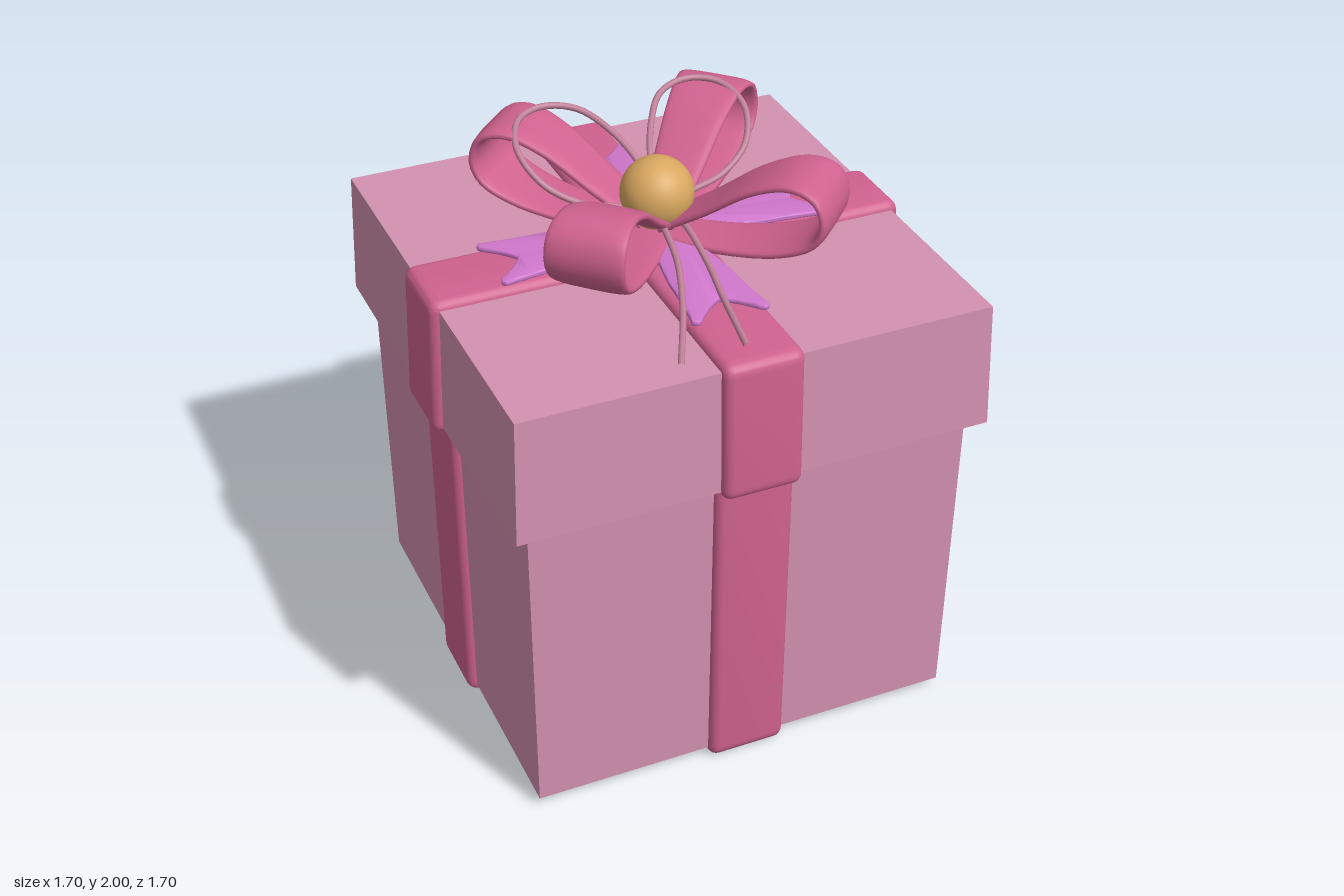
import * as THREE from 'three';
import { toCreasedNormals } from 'three/addons/utils/BufferGeometryUtils.js';

const mat = (color) => new THREE.MeshStandardMaterial({ color });
const paper = mat(0xd391b0), ribbon = mat(0xd0628f), satin = mat(0xd077cc);
const gold = mat(0xd9a860), cord = mat(0xc08098);

const v3 = (p) => new THREE.Vector3(...p);

function add(parent, name, geometry, material) {
  const mesh = new THREE.Mesh(geometry, material);
  mesh.name = name;
  parent.add(mesh);
  return mesh;
}

// Square box whose half width changes from bottom to top
function taperedBox(y0, y1, bottom, top) {
  const g = new THREE.BoxGeometry(2, y1 - y0, 2);
  const p = g.attributes.position;
  for (let i = 0; i < p.count; i++) {
    const h = p.getY(i) > 0 ? top : bottom;
    p.setXYZ(i, p.getX(i) * h, p.getY(i) + (y0 + y1) / 2, p.getZ(i) * h);
  }
  g.computeVertexNormals();
  return g;
}

// Padded band around the box: rounded outline with a hole, soft edges
function band(y0, y1, bottom, top, r) {
  const corners = [[-bottom, y0], [bottom, y0], [top, y1], [-top, y1]].map(c => new THREE.Vector2(...c));
  const shape = new THREE.Shape();
  corners.forEach((c, i) => {
    const a = c.clone().add(corners[(i + 3) % 4].clone().sub(c).setLength(r));
    const b = c.clone().add(corners[(i + 1) % 4].clone().sub(c).setLength(r));
    if (i) shape.lineTo(a.x, a.y);
    else shape.moveTo(a.x, a.y);
    shape.quadraticCurveTo(c.x, c.y, b.x, b.y);
  });
  shape.closePath();
  const k = 0.14, hole = new THREE.Path();
  hole.moveTo(k - bottom, y0 + k);
  hole.lineTo(k - top, y1 - k);
  hole.lineTo(top - k, y1 - k);
  hole.lineTo(bottom - k, y0 + k);
  hole.closePath();
  shape.holes.push(hole);
  const g = new THREE.ExtrudeGeometry(shape, {
    depth: 0.21, bevelThickness: 0.033, bevelSize: 0.033, bevelOffset: -0.033,
    bevelSegments: 5, curveSegments: 8,
  });
  g.translate(0, 0, -0.105);
  return toCreasedNormals(g, 0.7);
}

// Bow loop: flat rounded section swept along a teardrop, widening outward
function bowLoop() {
  const curve = new THREE.CatmullRomCurve3([
    [0.02, 1.66], [0.28, 1.672], [0.47, 1.715], [0.575, 1.775], [0.605, 1.85], [0.575, 1.93],
    [0.49, 1.955], [0.36, 1.91], [0.18, 1.785], [0.03, 1.69],
  ].map(([x, y]) => new THREE.Vector3(x, y, 0)));
  const N = 48, M = 20, pos = [], index = [];
  const round = (v) => Math.sign(v) * Math.abs(v) ** 0.6;
  for (let i = 0; i <= N; i++) {
    const p = curve.getPointAt(i / N), t = curve.getTangentAt(i / N);
    const half = 0.07 + 0.108 * p.x;
    for (let j = 0; j < M; j++) {
      const a = j / M * Math.PI * 2, n = 0.017 * round(Math.sin(a));
      pos.push(p.x - t.y * n, p.y + t.x * n, half * round(Math.cos(a)));
      if (i === N) continue;
      const k = (j + 1) % M, q = i * M;
      index.push(q + j, q + M + j, q + k, q + k, q + M + j, q + M + k);
    }
  }
  const g = new THREE.BufferGeometry();
  g.setAttribute('position', new THREE.Float32BufferAttribute(pos, 3));
  g.setIndex(index);
  g.computeVertexNormals();
  return g;
}

// Flat ribbon end with a swallowtail notch
function ribbonTail() {
  const s = new THREE.Shape();
  s.moveTo(0, -0.04);
  s.quadraticCurveTo(0.2, -0.085, 0.34, -0.105);
  s.quadraticCurveTo(0.46, -0.11, 0.575, -0.13);
  s.quadraticCurveTo(0.59, -0.12, 0.58, -0.105);
  s.quadraticCurveTo(0.51, -0.05, 0.485, 0);
  s.quadraticCurveTo(0.51, 0.05, 0.58, 0.105);
  s.quadraticCurveTo(0.59, 0.12, 0.575, 0.13);
  s.quadraticCurveTo(0.46, 0.11, 0.34, 0.105);
  s.quadraticCurveTo(0.2, 0.085, 0, 0.04);
  const g = new THREE.ExtrudeGeometry(s, {
    depth: 0.008, bevelThickness: 0.006, bevelSize: 0.008, bevelOffset: -0.005, bevelSegments: 3, curveSegments: 10,
  });
  g.rotateX(-Math.PI / 2);
  g.rotateZ(-0.015);
  g.translate(0, 1.657, 0);
  return toCreasedNormals(g, 0.7);
}

const string = (points) =>
  new THREE.TubeGeometry(new THREE.CatmullRomCurve3(points.map(v3)), 56, 0.011, 10);

export function createModel() {
  const model = new THREE.Group();
  model.name = 'giftBox';

  add(model, 'boxBody', taperedBox(0.035, 1.2, 0.755, 0.765), paper);
  add(model, 'lid', taperedBox(1.17, 1.61, 0.818, 0.805), paper);

  // Bands crossing in both directions
  const bodyBand = band(0, 1.19, 0.785, 0.792, 0.05);
  const lidBand = band(1.14, 1.638, 0.85, 0.835, 0.045);
  for (let i = 0; i < 2; i++) {
    add(model, 'bodyRibbon', bodyBand, ribbon).rotation.y = i * Math.PI / 2;
    add(model, 'lidRibbon', lidBand, ribbon).rotation.y = i * Math.PI / 2;
  }

  // Bow: diagonal loops with tails between them
  const bow = new THREE.Group();
  bow.name = 'bow';
  model.add(bow);
  const loop = bowLoop(), tail = ribbonTail();
  for (let i = 0; i < 4; i++) {
    add(bow, 'bowLoop', loop, ribbon).rotation.y = (i + 0.5) * Math.PI / 2;
    add(bow, 'ribbonTail', tail, satin).rotation.y = i * Math.PI / 2;
  }
  add(bow, 'bead', new THREE.SphereGeometry(0.123, 40, 28), gold).position.y = 1.79;

  // Thin cord: two raised loops at the back, two loose ends at the front
  for (const s of [-1, 1]) {
    add(bow, 'cordLoop', string([
      [0, 1.69, 0], [s * 0.12, 1.75, -0.02], [s * 0.25, 1.785, -0.035], [s * 0.36, 1.85, -0.09],
      [s * 0.405, 1.93, -0.2], [s * 0.36, 1.978, -0.31], [s * 0.26, 1.988, -0.353],
      [s * 0.15, 1.975, -0.315], [s * 0.07, 1.925, -0.21], [s * 0.02, 1.85, -0.1], [0, 1.76, -0.03],
    ]), cord);
  }
  add(bow, 'cordEnd', string([
    [-0.01, 1.72, 0], [-0.03, 1.73, 0.12], [-0.06, 1.705, 0.3], [-0.13, 1.665, 0.5], [-0.24, 1.622, 0.735],
  ]), cord);
  add(bow, 'cordEnd', string([
    [0.02, 1.72, 0], [0.04, 1.73, 0.12], [0.04, 1.69, 0.3], [0.01, 1.665, 0.5], [-0.035, 1.658, 0.765],
  ]), cord);

  return model;
}
